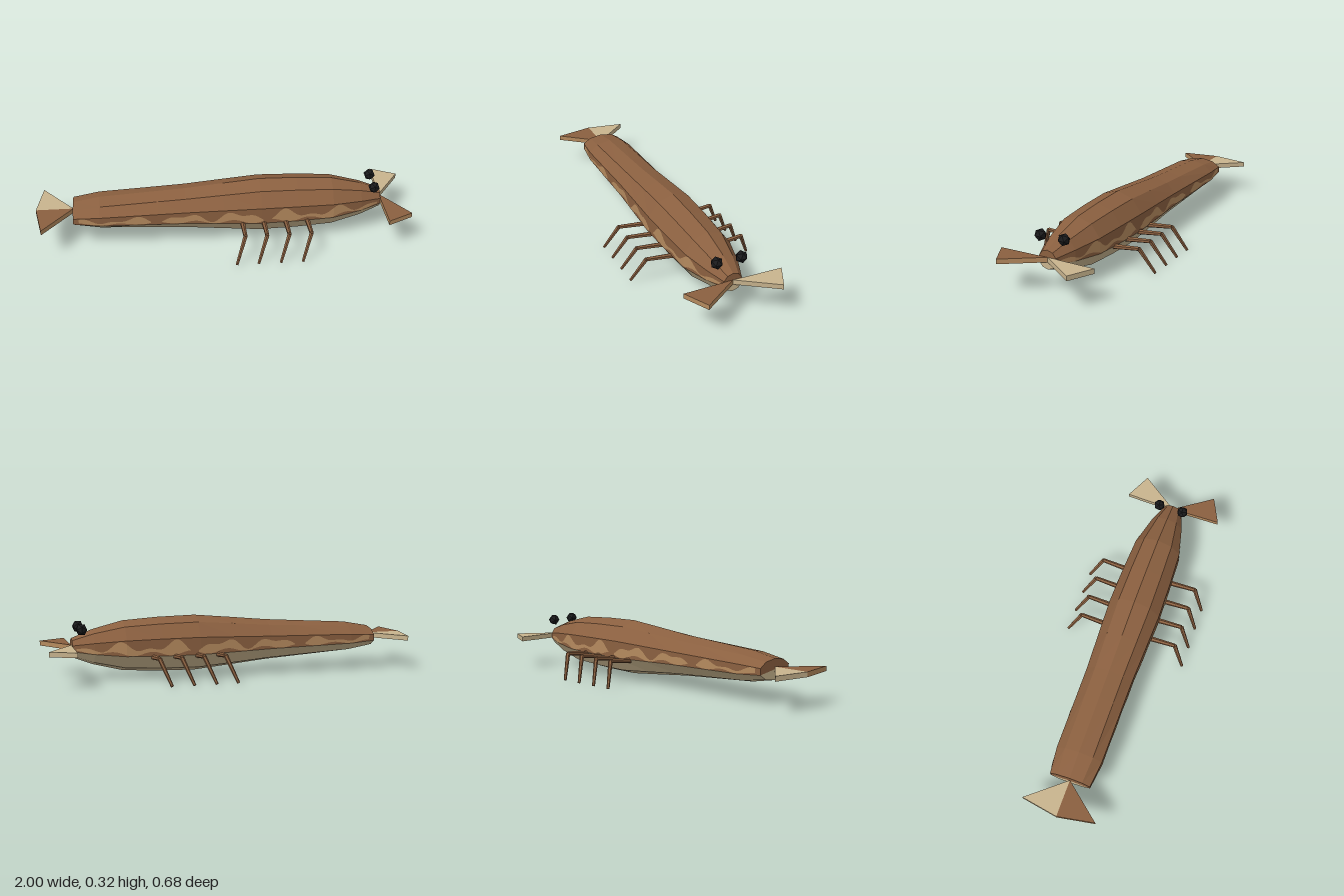
import * as THREE from 'three';

const paint = (name, color, extra = {}) => {
  const m = new THREE.MeshStandardMaterial({ color, flatShading: true, ...extra });
  m.name = name;
  return m;
};

// Body sections: x, half height, half width
const MID = 0.175;
const SECTIONS = [
  [-0.8, 0.054, 0.115], [-0.66, 0.08, 0.131], [-0.35, 0.1, 0.132], [-0.2, 0.11, 0.133],
  [0, 0.13, 0.141], [0.2, 0.149, 0.149], [0.4, 0.145, 0.144], [0.59, 0.133, 0.134],
  [0.75, 0.093, 0.093], [0.86, 0.05, 0.051],
];
const STEP = Math.PI / 5;

// Strip of the ten-sided hull from side a to side b, with its share of the end caps
function hull(a, b) {
  const pts = [];
  const p = ([x, ry, rz], j) => [x, MID + ry * Math.cos(j * STEP), rz * Math.sin(j * STEP)];
  const first = SECTIONS[0], last = SECTIONS[SECTIONS.length - 1];
  for (let j = a; j < b; j++) {
    for (let i = 0; i < SECTIONS.length - 1; i++) {
      const s = SECTIONS[i], t = SECTIONS[i + 1];
      pts.push(p(s, j), p(s, j + 1), p(t, j + 1), p(s, j), p(t, j + 1), p(t, j));
    }
    pts.push([last[0], MID, 0], p(last, j), p(last, j + 1));
    pts.push([first[0], MID, 0], p(first, j + 1), p(first, j));
  }
  return fromPoints(pts);
}

function fromPoints(pts) {
  const g = new THREE.BufferGeometry();
  g.setAttribute('position', new THREE.Float32BufferAttribute(pts.flat(), 3));
  g.computeVertexNormals();
  return g;
}

// Hull size at any x
function sectionAt(x) {
  let i = 0;
  while (i < SECTIONS.length - 2 && x > SECTIONS[i + 1][0]) i++;
  const s = SECTIONS[i], t = SECTIONS[i + 1];
  const k = (x - s[0]) / (t[0] - s[0]);
  return [s[1] + (t[1] - s[1]) * k, s[2] + (t[2] - s[2]) * k];
}

// Wavy mottled blotches lying on one flank
function blotches(side) {
  const pts = [];
  const edge = (x) => {
    const [ry, rz] = sectionAt(x);
    const h = ry * Math.cos(2 * STEP);
    const z = side * (rz * Math.sin(2 * STEP) + 0.002);
    const low = -0.7 + 0.25 * Math.sin(31 * x);
    const high = Math.max(low, 0.1 + 0.5 * Math.sin(23 * x) + 0.35 * Math.sin(41 * x + 1));
    return [[x, MID + h * low, z], [x, MID + h * high, z], high - low];
  };
  const n = 110, x0 = -0.77, dx = 1.61 / n;
  for (let i = 0; i < n; i++) {
    const [a, d, ha] = edge(x0 + i * dx);
    const [b, c, hb] = edge(x0 + (i + 1) * dx);
    if (ha + hb < 0.3) continue;
    pts.push(...(side > 0 ? [a, b, c, a, c, d] : [a, c, b, a, d, c]));
  }
  return fromPoints(pts);
}

// Flat triangular fin lying level, corners given as [x, z]
function fin(corners) {
  const shape = new THREE.Shape(corners.map(([x, z]) => new THREE.Vector2(x, z)));
  const g = new THREE.ExtrudeGeometry(shape, { depth: 0.026, bevelEnabled: false });
  return g.rotateX(Math.PI / 2).translate(0, 0.188, 0);
}

// Tapered rod between two points
function rod(from, to, r0, r1) {
  const a = new THREE.Vector3(...from), b = new THREE.Vector3(...to);
  const dir = b.clone().sub(a);
  const g = new THREE.CylinderGeometry(r1, r0, dir.length(), 6);
  g.applyQuaternion(new THREE.Quaternion().setFromUnitVectors(new THREE.Vector3(0, 1, 0), dir.normalize()));
  const c = a.add(b).multiplyScalar(0.5);
  return g.translate(c.x, c.y, c.z);
}

export function createModel() {
  const model = new THREE.Group();
  model.name = 'swimmer';
  const brown = paint('shellBrown', 0x8b6040);
  const tan = paint('bellyTan', 0xc8b48e);
  const ochre = paint('blotchOchre', 0xb58a5e, { side: THREE.DoubleSide });
  const black = paint('eyeBlack', 0x1a1a1c);

  const add = (name, geometry, material, parent = model) => {
    const mesh = new THREE.Mesh(geometry, material);
    mesh.name = name;
    parent.add(mesh);
    return mesh;
  };

  // Body
  add('back', hull(-3, 3), brown);
  add('belly', hull(3, 7), tan);

  for (const side of [1, -1]) {
    const word = side > 0 ? 'Front' : 'Rear';
    add('blotches' + word, blotches(side), ochre);

    // Eye
    add('eye' + word, new THREE.IcosahedronGeometry(0.032, 0).translate(0.815, 0.276, side * 0.067), black);

    // Fins: one side brown, the other pale
    const mats = side > 0 ? [brown, ochre] : [tan, tan];
    add('headFin' + word, fin([[0.86, 0], [0.865, side * 0.266], [1, side * 0.2]]), mats);
    add('tailFin' + word, fin([[-0.8, 0], [-0.965, side * 0.2], [-1, 0]]), mats);

    // Four jointed legs
    [0.1, 0.215, 0.333, 0.45].forEach((x, i) => {
      const leg = new THREE.Group();
      leg.name = 'leg' + word + (i + 1);
      model.add(leg);
      const knee = [x, 0.14, side * 0.27];
      add('upperLeg', rod([x, 0.124, side * 0.12], knee, 0.014, 0.011), brown, leg);
      add('lowerLeg', rod(knee, [x - 0.05, 0.005, side * 0.335], 0.012, 0.008), brown, leg);
    });
  }
  return model;
}
